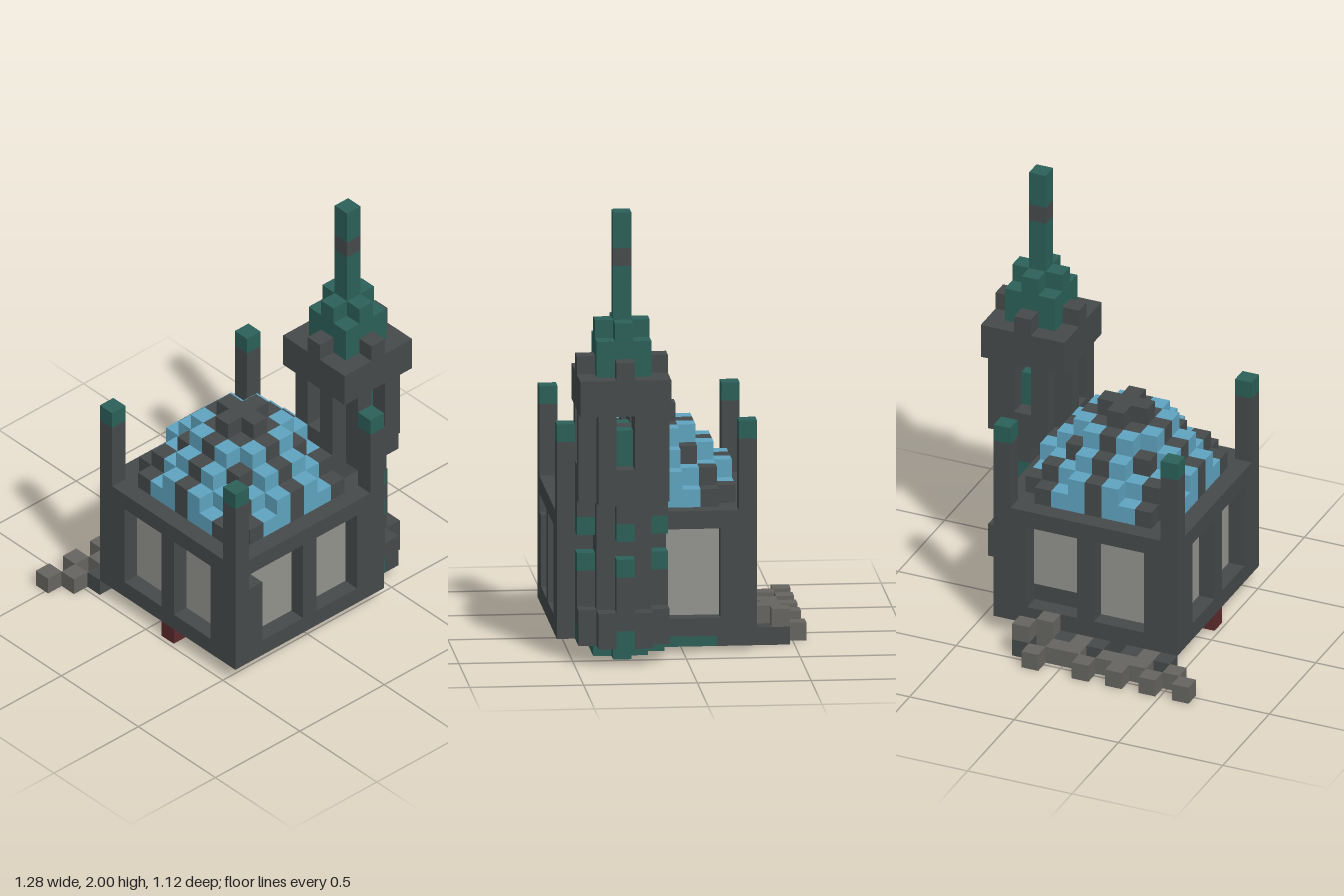
import * as THREE from 'three';
import { mergeGeometries } from 'three/addons/utils/BufferGeometryUtils.js';

const U = 0.08; // edge of one block
const mat = (name, color) => {
  const m = new THREE.MeshStandardMaterial({ color });
  m.name = name;
  return m;
};

// Box from a corner and a size, both counted in blocks
function block([x, y, z, w = 1, h = 1, d = 1]) {
  return new THREE.BoxGeometry(w * U, h * U, d * U)
    .translate((x + w / 2) * U, (y + h / 2) * U, (z + d / 2) * U);
}

function part(parent, name, material, boxes) {
  const mesh = new THREE.Mesh(mergeGeometries(boxes.map(block)), material);
  mesh.name = name;
  parent.add(mesh);
  return mesh;
}

function subgroup(parent, name, x, z) {
  const g = new THREE.Group();
  g.name = name;
  g.position.set(x, 0, z);
  parent.add(g);
  return g;
}

export function createModel() {
  const stone = mat('dark stone', 0x464a4b);
  const teal = mat('teal copper', 0x2c6059);
  const blue = mat('blue roof', 0x5fa4c0);
  const pale = mat('window grey', 0x93938e);
  const gravel = mat('path grey', 0x666560);
  const red = mat('dark red', 0x5c2a2c);

  const model = new THREE.Group();
  model.name = 'observatory';

  // Hall: square plan, centred on its own middle block
  const hall = subgroup(model, 'hall', -0.04, 0.12);
  part(hall, 'hallCore', stone, [[-4.5, 1, -4.5, 9, 7, 9]]);

  // Four walls with recessed window pairs
  ['front', 'right', 'back', 'left'].forEach((side, n) => {
    const wall = subgroup(hall, side + 'Wall', 0, 0);
    wall.rotation.y = [0, Math.PI / 2, Math.PI, -Math.PI / 2][n];
    const notch = side === 'front' ? 1 : 0;
    part(wall, 'wallFrame', stone, [
      [-5.5, 1, 4.5, 11, 1, 1],
      [-5.5, 7, 4.5, 11, 1, 1],
      [-5.5, 2, 4.5, 1, 5, 1],
      [-4.5, 2, 4.5, 1, 5 - notch, 1],
      [-0.5, 2, 4.5, 1, 5, 1],
      [3.5, 2, 4.5, 2, 5, 1],
    ]);
    const lift = side === 'back' ? 1 : 0;
    const t = 0.06;
    part(wall, 'windowPanes', pale, [
      [-3.5, 2 + lift, 4.5, 3, 5 - lift, t],
      [0.5, 2, 4.5, 3, 5, t],
    ]);
  });

  // Corner pinnacles with copper caps
  const corners = [[-5.5, -5.5], [4.5, -5.5], [-5.5, 4.5], [4.5, 4.5]];
  part(hall, 'pinnacles', stone, corners.map(([x, z]) => [x, 8, z, 1, 4, 1]));
  part(hall, 'pinnacleCaps', teal, corners.map(([x, z]) => [x, 12, z]));

  // Stepped dome: top height by distance from the two axes
  const tops = [
    [13, 13, 12, 11, 10],
    [13, 12, 12, 11, 10],
    [12, 12, 11, 10, 9],
    [11, 11, 10, 10, 9],
    [10, 10, 9, 9, 8],
  ];
  const ribs = [], tiles = [];
  for (let x = -4; x <= 4; x++) {
    for (let z = -4; z <= 4; z++) {
      const a = Math.abs(x), b = Math.abs(z);
      const h = tops[a][b] - 8;
      if (h === 0 || (x === 4 && z > 0)) continue;
      const tiled = a > 0 && b > 0 && a !== b && Math.min(a, b) < 3;
      (tiled ? tiles : ribs).push([x - 0.5, 8, z - 0.5, 1, h, 1]);
    }
  }
  part(hall, 'domeRibs', stone, ribs);
  part(hall, 'domeTiles', blue, tiles);

  // Tower, centred on its own axis
  const tower = subgroup(model, 'tower', 0.44, 0.28);
  const dark = [], copper = [];
  const col = (list, x, z, y, h) => list.push([x - 0.5, y, z - 0.5, 1, h, 1]);

  // Shaft: corner columns and a core pierced by windows
  for (const x of [-1, 1]) {
    for (const z of [-1, 1]) {
      col(dark, x, z, 1, 15);
      col(dark, 2 * x, 2 * z, 14, 2);
    }
  }
  col(dark, 0, 0, 1, 12);
  col(dark, 0, 0, 14, 2);

  // Four faces: buttress, window slit and overhanging crown
  for (const [dx, dz] of [[1, 0], [-1, 0], [0, 1], [0, -1]]) {
    const inner = dx === -1;
    col(dark, dx, dz, 1, 10);
    col(copper, dx, dz, 11, 2);
    col(dark, dx, dz, 14, 2);
    if (!inner) {
      col(copper, 2 * dx, 2 * dz, 1, 1);
      col(dark, 2 * dx, 2 * dz, 2, 3);
      col(copper, 2 * dx, 2 * dz, 5, 1);
      col(copper, 2 * dx, 2 * dz, 7, 1);
    }
    col(dark, 2 * dx, 2 * dz, 8, 3);
    col(dark, 2 * dx, 2 * dz, 14, 3);
    for (const s of [-1, 1]) {
      const x = 2 * dx + s * dz, z = 2 * dz + s * dx;
      const y = inner ? 8 : 9;
      col(dark, x, z, y, 16 - y);
      if (!inner) col(dark, x, z, 1, 2);
    }
  }
  part(tower, 'towerStone', stone, dark);
  part(tower, 'towerCopper', teal, copper);

  // Spire
  part(tower, 'spireBase', teal, [
    [-1.5, 16, -1.5, 3, 2, 3],
    [-1.5, 18, -0.5, 3, 1, 1],
    [-0.5, 18, -1.5, 1, 1, 3],
  ]);
  part(tower, 'spire', teal, [[-0.5, 19, -0.5, 1, 3, 1], [-0.5, 23, -0.5, 1, 2, 1]]);
  part(tower, 'spireBand', stone, [[-0.5, 22, -0.5]]);

  // Ground pieces, counted from the back left corner
  const ground = subgroup(model, 'ground', -0.64, -0.56);
  part(ground, 'foundation', teal, [
    [4, 0, 5, 7, 1, 7], [11, 0, 8, 1, 1, 4], [12, 0, 9, 1, 1, 3], [13, 0, 10],
  ]);
  part(ground, 'rearFooting', stone, [[3, 0, 3, 8, 1, 2]]);
  part(ground, 'redBlock', red, [[2, 0, 8]]);
  part(ground, 'pathStones', gravel, [
    ...[0, 2, 4, 6, 9].map((x) => [x, 0, 0]),
    ...[1, 3, 4, 5, 7, 8].map((x) => [x, 0, 1]),
    ...[3, 7, 9].map((x) => [x, 0, 2]),
    [10, 1, 1], [9, 1, 2],
  ]);
  part(ground, 'darkPathStones', stone, [
    ...[2, 4, 6, 8, 10].map((x) => [x, 0, 2]), [10, 0, 1],
  ]);

  return model;
}
